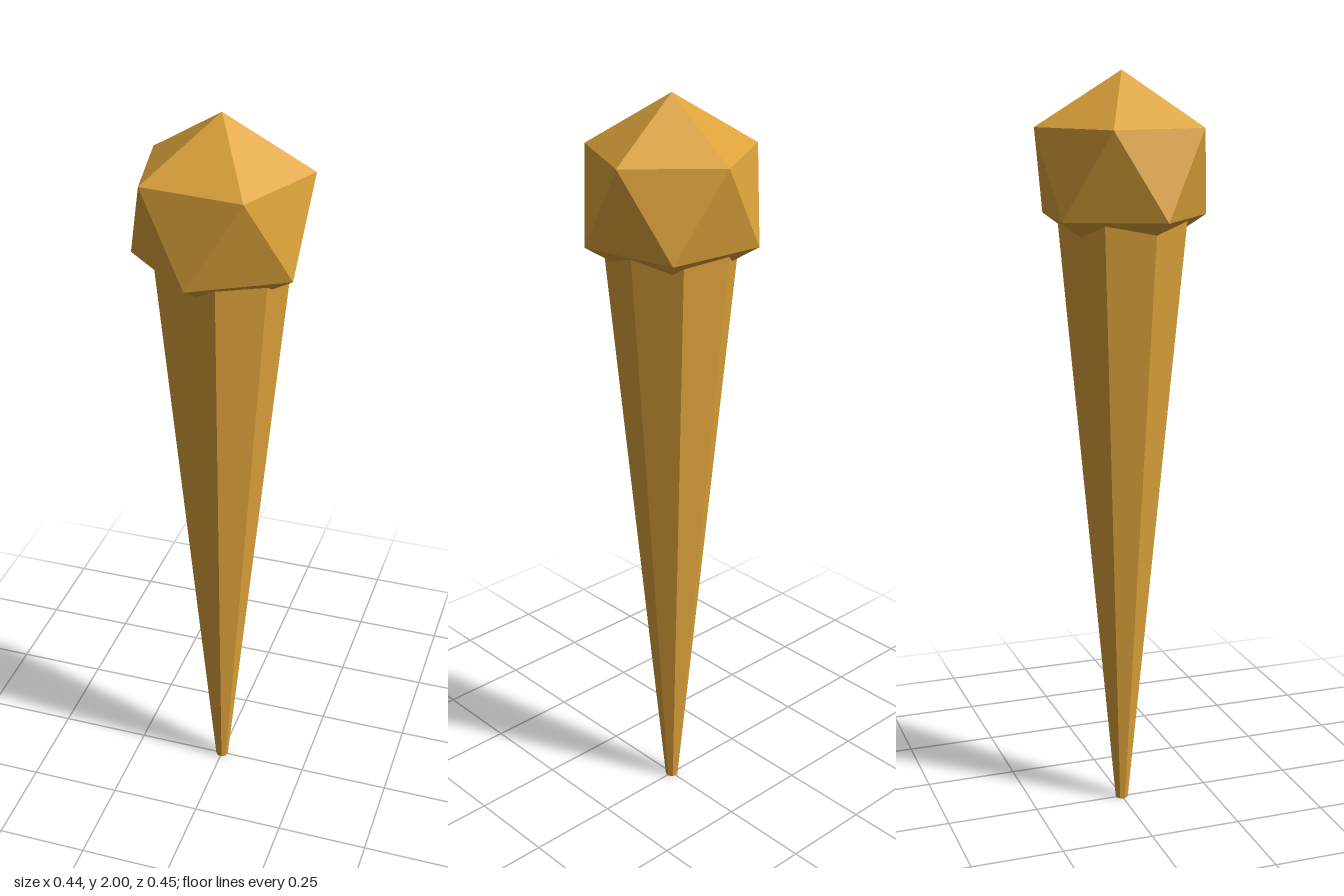
import * as THREE from 'three';

export function createModel() {
  const group = new THREE.Group();
  group.name = 'spike';

  const gold = new THREE.MeshStandardMaterial({ color: 0xdca23a, flatShading: true });
  gold.name = 'gold';

  // Tapered eight-sided shaft, its top buried in the head
  const shaftHeight = 1.7;
  const shaft = new THREE.Mesh(new THREE.CylinderGeometry(0.18, 0.0175, shaftHeight, 8), gold);
  shaft.name = 'shaft';
  shaft.position.y = shaftHeight / 2;
  shaft.rotation.y = THREE.MathUtils.degToRad(12);
  group.add(shaft);

  // Faceted head: an icosahedron standing on one of its corners
  const radius = 0.253;
  const headGeometry = new THREE.IcosahedronGeometry(radius, 0);
  headGeometry.rotateX(-Math.atan((1 + Math.sqrt(5)) / 2));
  headGeometry.rotateY(THREE.MathUtils.degToRad(30));
  const head = new THREE.Mesh(headGeometry, gold);
  head.name = 'head';
  head.position.y = 2 - radius;
  group.add(head);

  return group;
}
